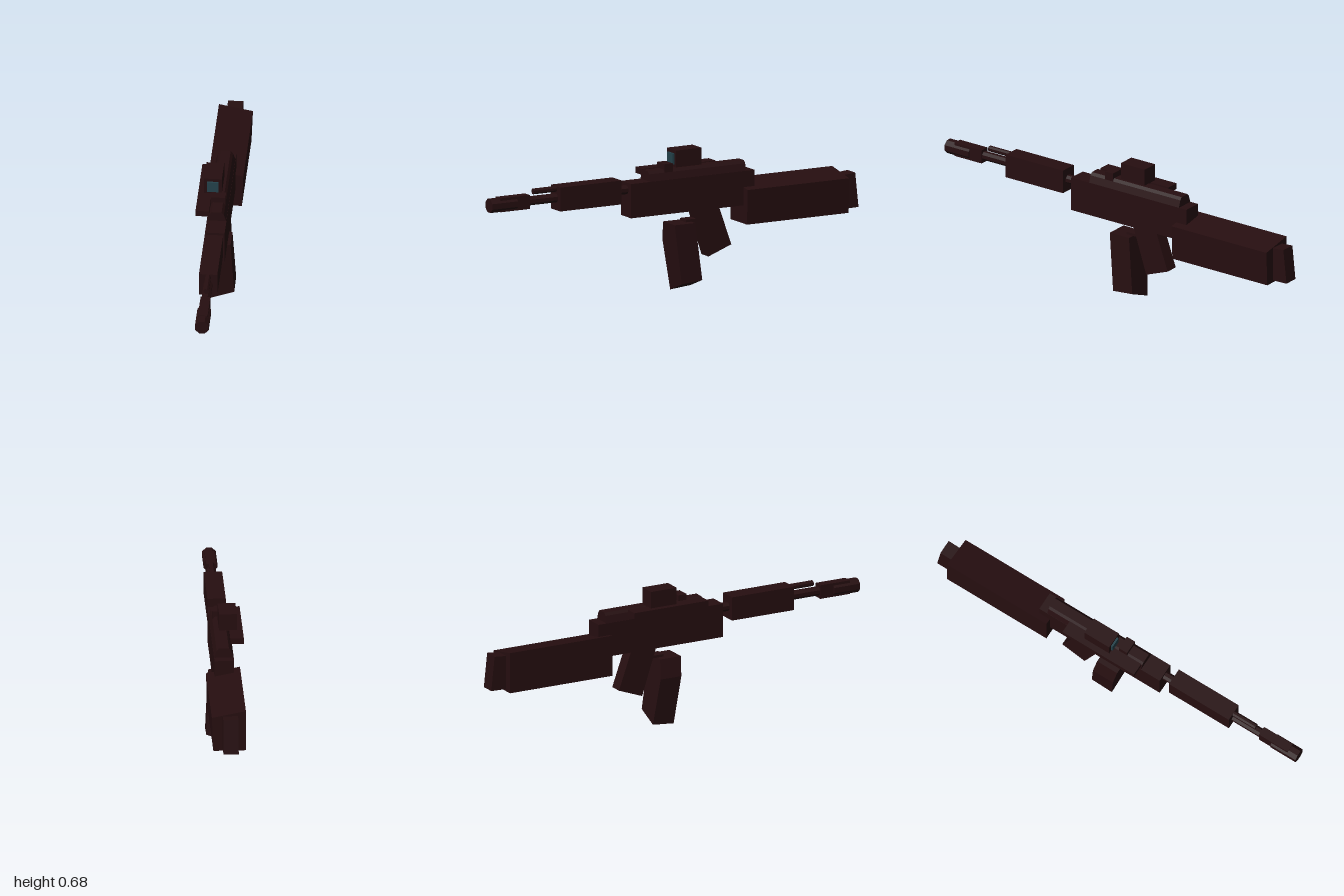
import * as THREE from 'three';

const bodyMat = new THREE.MeshStandardMaterial({ color: 0x260e10, flatShading: true });
bodyMat.name = 'dark brown body';
const lensMat = new THREE.MeshStandardMaterial({ color: 0x24424b, flatShading: true });
lensMat.name = 'teal lens';

const CX = 0.007; // centre line of the barrel and receiver

export function createModel() {
  const group = new THREE.Group();

  const add = (name, geometry, material = bodyMat) => {
    const mesh = new THREE.Mesh(geometry, material);
    mesh.name = name;
    group.add(mesh);
    return mesh;
  };
  // Box given by its limits on each axis
  const block = (name, [x0, x1], [y0, y1], [z0, z1], material) =>
    add(name, new THREE.BoxGeometry(x1 - x0, y1 - y0, z1 - z0)
      .translate((x0 + x1) / 2, (y0 + y1) / 2, (z0 + z1) / 2), material);
  const extrude = (points, depth) => new THREE.ExtrudeGeometry(
    new THREE.Shape(points.map(([a, b]) => new THREE.Vector2(a, b))),
    { depth, bevelEnabled: false });
  // Front outline (x, y) carried along z
  const frontPrism = (name, points, z0, z1) =>
    add(name, extrude(points, z1 - z0).translate(0, 0, z0));
  // Side outline (z, y) carried along x
  const sidePrism = (name, points, x0, x1) =>
    add(name, extrude(points, x1 - x0).rotateY(-Math.PI / 2).translate(x1, 0, 0));
  // Eight-sided rod along z
  const rod = (name, radius, y, z0, z1) =>
    add(name, new THREE.CylinderGeometry(radius, radius, z1 - z0, 8)
      .rotateY(Math.PI / 8).rotateX(Math.PI / 2).translate(CX, y, (z0 + z1) / 2));

  // Barrel assembly
  rod('muzzle', 0.035, 0.517, 0.86, 1);
  block('frontSightBlock', [-0.016, 0.03], [0.485, 0.552], [0.79, 0.95]);
  rod('barrel', 0.022, 0.519, 0.2, 0.9);
  rod('gasTube', 0.014, 0.562, 0.3, 0.76);
  block('handguard', [-0.037, 0.05], [0.46, 0.575], [0.3, 0.635]);

  // Receiver with chamfered top cover
  block('receiver', [-0.04, 0.053], [0.388, 0.553], [-0.424, 0.25]);
  frontPrism('topCover', [[-0.04, 0.55], [0.053, 0.55], [0.041, 0.587],
    [0.03, 0.6], [-0.017, 0.6], [-0.028, 0.587]], -0.38, 0.145);
  block('rearSight', [-0.028, 0.041], [0.587, 0.627], [0.015, 0.06]);

  // Optic on its side rail
  block('sideRail', [-0.094, -0.03], [0.571, 0.6], [-0.26, 0.14]);
  block('scope', [-0.066, 0.018], [0.597, 0.681], [-0.155, -0.016]);
  block('lens', [-0.051, 0.002], [0.612, 0.665], [-0.016, -0.007], lensMat);

  // Stock with a sloping top, and butt plate
  frontPrism('stock', [[-0.07, 0.3], [0.084, 0.3], [0.091, 0.468], [-0.07, 0.499]],
    -0.92, -0.365);
  sidePrism('buttPlate', [[-0.9, 0.31], [-1, 0.313], [-0.982, 0.48], [-0.9, 0.473]],
    -0.032, 0.04);

  // Grip and trigger guard
  sidePrism('grip', [[-0.1, 0.4], [-0.18, 0.158], [-0.305, 0.204], [-0.235, 0.4]],
    -0.025, 0.04);
  block('triggerGuard', [-0.02, 0.034], [0.334, 0.346], [-0.125, -0.06]);

  // Magazine, leaning back toward its foot
  const magazine = frontPrism('magazine', [[-0.04, 0.002], [0.077, 0.047],
    [0.062, 0.332], [-0.048, 0.332], [-0.07, 0.24]], -0.13, -0.018);
  const pos = magazine.geometry.attributes.position;
  for (let i = 0; i < pos.count; i++) {
    const y = pos.getY(i);
    pos.setZ(i, pos.getZ(i) + y * 0.105);
    // The foot rises slightly at the back
    if (y < 0.1 && pos.getZ(i) < -0.07) pos.setY(i, y + 0.01);
  }
  magazine.geometry.computeVertexNormals();

  return group;
}
